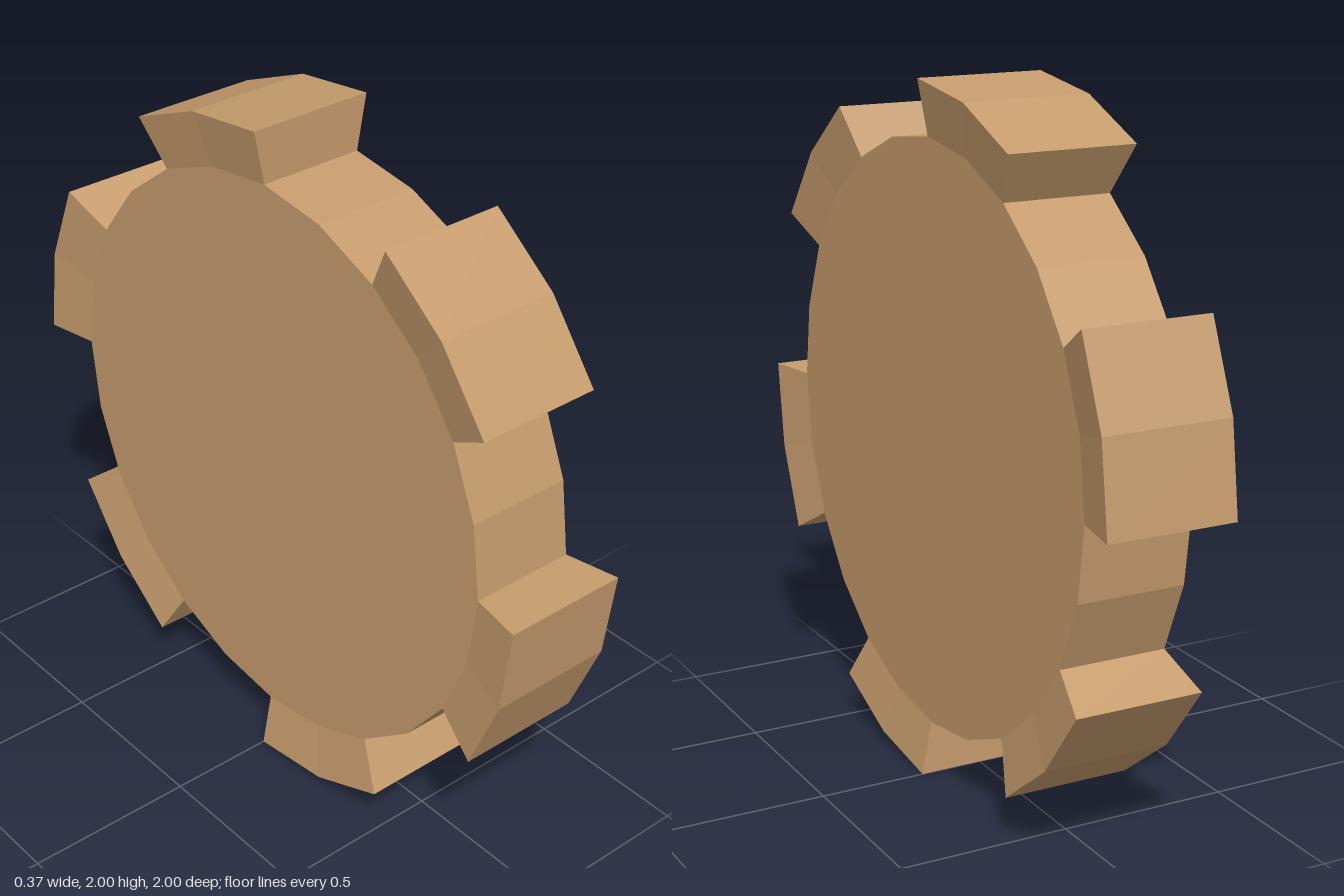
import * as THREE from 'three';

const SIDES = 24, TEETH = 6;
const STEP = (Math.PI * 2) / SIDES;
const R_HUB = 0.843, R_TIP = 1;
const W_HUB = 0.157, W_TIP = 0.187; // half widths

// Tooth: a flared cross-section swept over two facets of the wheel
function toothGeometry() {
  const section = [[-W_HUB, R_HUB], [-W_TIP, R_TIP], [W_TIP, R_TIP], [W_HUB, R_HUB]];
  const rings = [0, 1, 2].map((i) =>
    section.map(([x, r]) => [x, r * Math.cos(i * STEP), -r * Math.sin(i * STEP)]));
  const pos = [];
  const quad = (a, b, c, d) => pos.push(...a, ...b, ...c, ...a, ...c, ...d);

  for (let i = 0; i < 2; i++) {
    for (let k = 0; k < 3; k++) {
      quad(rings[i][k], rings[i][k + 1], rings[i + 1][k + 1], rings[i + 1][k]);
    }
  }
  // end walls
  const [s, , e] = rings;
  quad(s[0], s[3], s[2], s[1]);
  quad(e[0], e[1], e[2], e[3]);

  const geo = new THREE.BufferGeometry();
  geo.setAttribute('position', new THREE.Float32BufferAttribute(pos, 3));
  geo.computeVertexNormals();
  return geo;
}

export function createModel() {
  const gear = new THREE.Group();
  gear.name = 'gear';
  const material = new THREE.MeshStandardMaterial({ color: 0xc69c6d, flatShading: true });

  // Solid disc lying across the x axis
  const hubGeo = new THREE.CylinderGeometry(R_HUB, R_HUB, W_HUB * 2, SIDES);
  hubGeo.rotateZ(Math.PI / 2);
  const hub = new THREE.Mesh(hubGeo, material);
  hub.name = 'disc';
  hub.position.y = 1;
  gear.add(hub);

  // Ring of flared teeth
  const tooth = toothGeometry();
  for (let i = 0; i < TEETH; i++) {
    const mesh = new THREE.Mesh(tooth, material);
    mesh.name = `tooth${i + 1}`;
    mesh.position.y = 1;
    mesh.rotation.x = (-i * Math.PI * 2) / TEETH;
    gear.add(mesh);
  }
  return gear;
}
